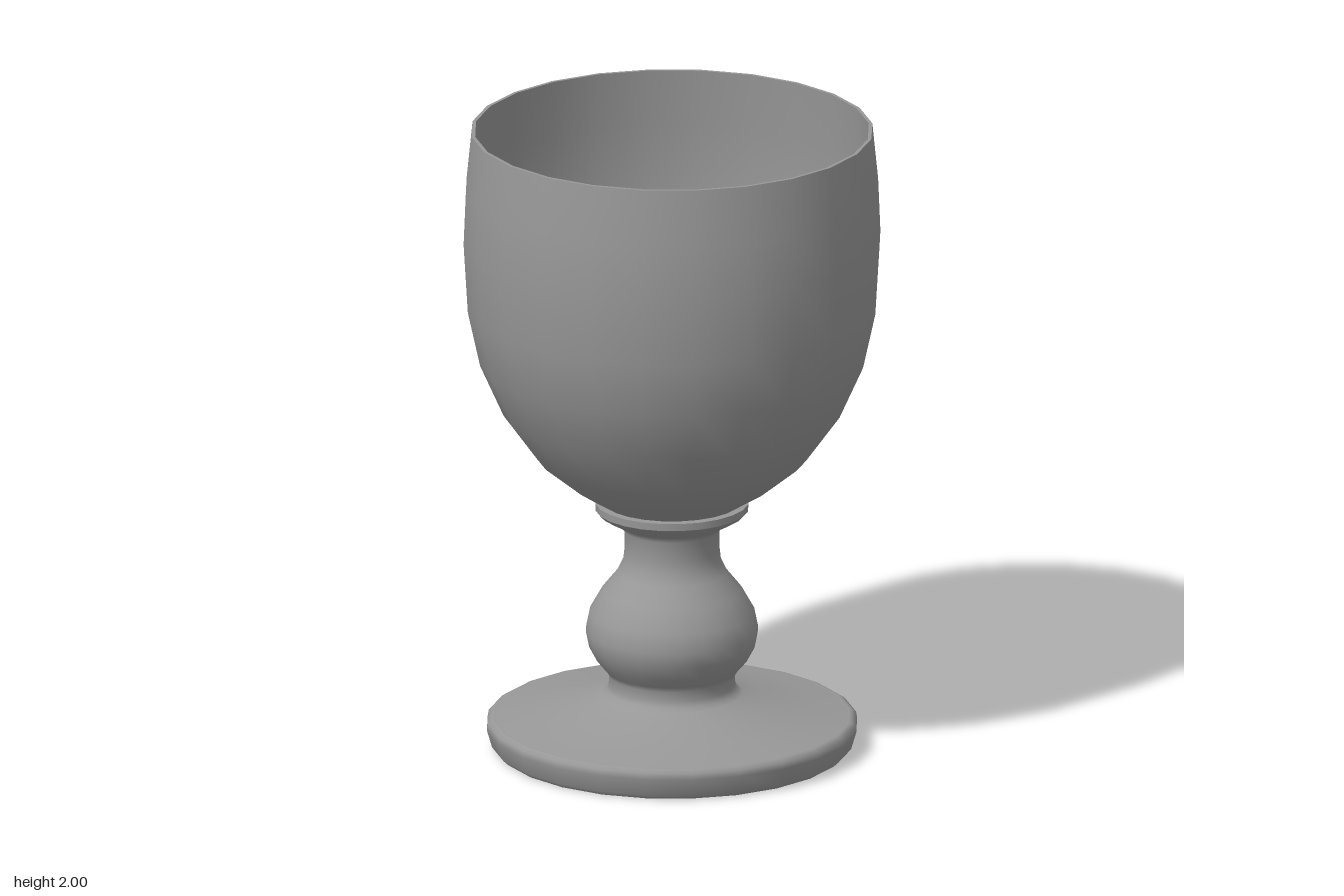
import * as THREE from 'three';

const SIDES = 24;
const HALF_STEP = Math.PI / SIDES;
const FLAT = Math.cos(HALF_STEP); // profiles give the half-width seen from the front

const material = new THREE.MeshStandardMaterial({ color: 0x989898, side: THREE.DoubleSide });

// Turned part with its facets centred on the axes
function turned(name, profile) {
  const points = profile.map(([r, y]) => new THREE.Vector2(r / FLAT, y));
  const mesh = new THREE.Mesh(new THREE.LatheGeometry(points, SIDES, HALF_STEP), material);
  mesh.name = name;
  return mesh;
}

export function createModel() {
  const goblet = new THREE.Group();
  goblet.name = 'goblet';

  // Hollow foot: rounded rim, then a shallow slope up to the stem
  const rim = [[0.54, 0], [0.556, 0.015], [0.572, 0.07], [0.569, 0.09], [0.555, 0.1]];
  const slope = [
    [0.545, 0.1], [0.45, 0.115], [0.36, 0.133], [0.27, 0.157], [0.218, 0.175], [0.2, 0.187], [0.195, 0.205],
  ];
  goblet.add(turned('footRim', [...rim, slope[0]]));

  // Hollow stem with its round knop and slender neck
  const stem = [
    [0.194, 0.235], [0.204, 0.252], [0.231, 0.283], [0.256, 0.33], [0.266, 0.38], [0.254, 0.44],
    [0.215, 0.51], [0.169, 0.567], [0.151, 0.605], [0.147, 0.64], [0.147, 0.705],
    [0.165, 0.725], [0.222, 0.757], [0.236, 0.772],
  ];
  goblet.add(turned('footAndStem', [...slope, ...stem]));

  // Collar under the bowl
  goblet.add(turned('collar', [[0.236, 0.772], [0.237, 0.795]]));
  goblet.add(turned('collarTop', [[0.237, 0.795], [0, 0.8]]));

  // Bowl: outer wall, flat lip and inner wall
  const outer = [
    [0.215, 0.797], [0.3, 0.85], [0.416, 0.945], [0.52, 1.09],
    [0.593, 1.255], [0.631, 1.43], [0.644, 1.65], [0.637, 1.82], [0.619, 2],
  ];
  const inner = [
    [0.608, 2], [0.622, 1.82], [0.629, 1.65], [0.616, 1.435], [0.578, 1.265],
    [0.507, 1.1], [0.405, 0.958], [0.292, 0.866], [0.2, 0.825], [0.1, 0.815], [0, 0.813],
  ];
  goblet.add(turned('bowlOutside', outer));
  goblet.add(turned('bowlLip', [outer[outer.length - 1], inner[0]]));
  goblet.add(turned('bowlInside', inner));

  return goblet;
}
